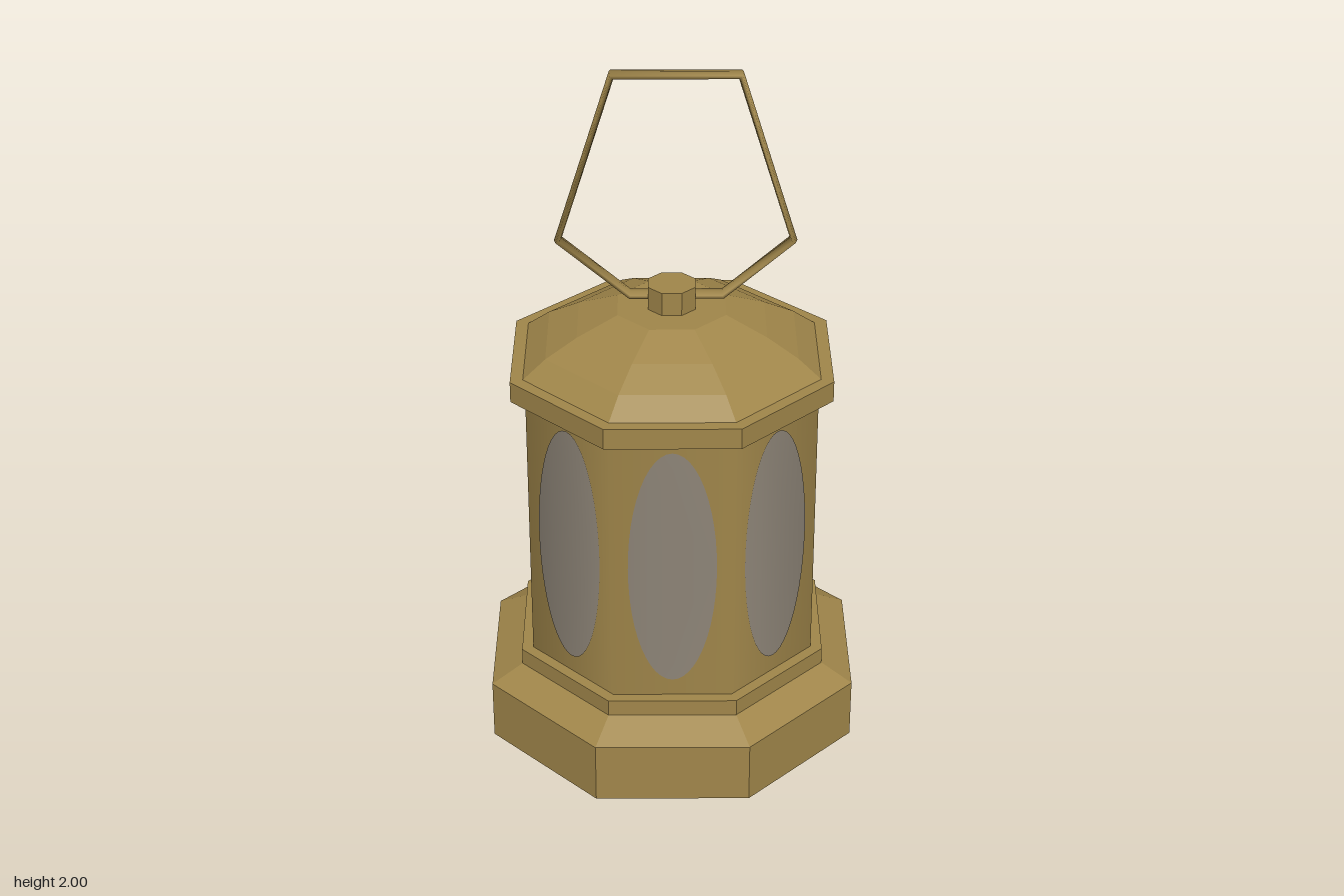
import * as THREE from 'three';

const SIDES = 8;
const STEP = (Math.PI * 2) / SIDES;
const TO_RADIUS = 1 / Math.cos(STEP / 2); // flat-to-centre distance -> corner radius

// Octagonal solid with crisp faces; profile is [distance to flat, y] from bottom to top
function octagon(name, profile, material) {
  const points = profile.map(([a, y]) => new THREE.Vector2(a * TO_RADIUS, y));
  const geometry = new THREE.LatheGeometry(points, SIDES).rotateY(STEP / 2).toNonIndexed();
  geometry.computeVertexNormals();
  const mesh = new THREE.Mesh(geometry, material);
  mesh.name = name;
  return mesh;
}

// Closed wire loop in the xy plane with mitred corners and an oval section
function wireLoop(path, halfThick, halfDepth, sides) {
  const n = path.length;
  const positions = [];
  const index = [];
  for (let i = 0; i < n; i++) {
    const p = new THREE.Vector2(...path[i]);
    const before = p.clone().sub(new THREE.Vector2(...path[(i + n - 1) % n])).normalize();
    const after = new THREE.Vector2(...path[(i + 1) % n]).sub(p).normalize();
    const tangent = before.clone().add(after).normalize();
    const reach = halfThick / tangent.dot(after);
    for (let k = 0; k < sides; k++) {
      const angle = (k / sides) * Math.PI * 2;
      const u = Math.cos(angle) * reach;
      positions.push(p.x + tangent.y * u, p.y - tangent.x * u, Math.sin(angle) * halfDepth);
      const a = i * sides + k;
      const b = ((i + 1) % n) * sides + k;
      const c = i * sides + ((k + 1) % sides);
      const d = ((i + 1) % n) * sides + ((k + 1) % sides);
      index.push(a, b, c, b, d, c);
    }
  }
  const geometry = new THREE.BufferGeometry();
  geometry.setAttribute('position', new THREE.Float32BufferAttribute(positions, 3));
  geometry.setIndex(index);
  geometry.computeVertexNormals();
  return geometry;
}

export function createModel() {
  const lantern = new THREE.Group();
  lantern.name = 'lantern';
  const brass = new THREE.MeshStandardMaterial({ color: 0xa0864a });
  brass.name = 'brass';
  const glass = new THREE.MeshStandardMaterial({ color: 0x8d8477 });
  glass.name = 'smoky glass';

  // Stepped base with a sloped shoulder
  lantern.add(octagon('base', [
    [0, 0], [0.525, 0], [0.525, 0.18], [0.437, 0.228], [0.437, 0.277], [0, 0.277],
  ], brass));

  // Softly shaded octagonal body
  const bodyFlat = 0.405;
  const bodyGeometry = new THREE.CylinderGeometry(
    bodyFlat * TO_RADIUS, bodyFlat * TO_RADIUS, 0.86, SIDES, 1, true).rotateY(STEP / 2);
  const body = new THREE.Mesh(bodyGeometry, brass);
  body.name = 'body';
  body.position.y = 0.69;
  lantern.add(body);

  // Oval window on every side, shaded to follow the body
  const oval = new THREE.Shape().absellipse(0, 0, 0.123, 0.37, 0, Math.PI * 2);
  const windowGeometry = new THREE.ShapeGeometry(oval, 24).translate(0, 0.7, bodyFlat + 0.003);
  const pos = windowGeometry.attributes.position;
  for (let i = 0; i < pos.count; i++) {
    const v = new THREE.Vector3(pos.getX(i), 0, pos.getZ(i)).normalize();
    windowGeometry.attributes.normal.setXYZ(i, v.x, v.y, v.z);
  }
  const windows = new THREE.Group();
  windows.name = 'windows';
  for (let i = 0; i < SIDES; i++) {
    const pane = new THREE.Mesh(windowGeometry, glass);
    pane.name = 'window';
    pane.rotation.y = i * STEP;
    windows.add(pane);
  }
  lantern.add(windows);

  // Roof rim, domed roof and cap knob
  lantern.add(octagon('roofRim', [[0, 1.105], [0.445, 1.105], [0.445, 1.166], [0, 1.166]], brass));
  lantern.add(octagon('roof', [
    [0.41, 1.166], [0.348, 1.216], [0.262, 1.264], [0.15, 1.31], [0, 1.31],
  ], brass));
  lantern.add(octagon('knob', [[0, 1.3], [0.066, 1.3], [0.066, 1.378], [0, 1.378]], brass));

  // Angular carrying handle running through the knob
  const handle = new THREE.Mesh(wireLoop([
    [0.184, 1.992], [-0.16, 1.992], [-0.312, 1.512],
    [-0.116, 1.345], [0.142, 1.345], [0.334, 1.512],
  ], 0.009, 0.027, 6), brass);
  handle.name = 'handle';
  lantern.add(handle);

  return lantern;
}
